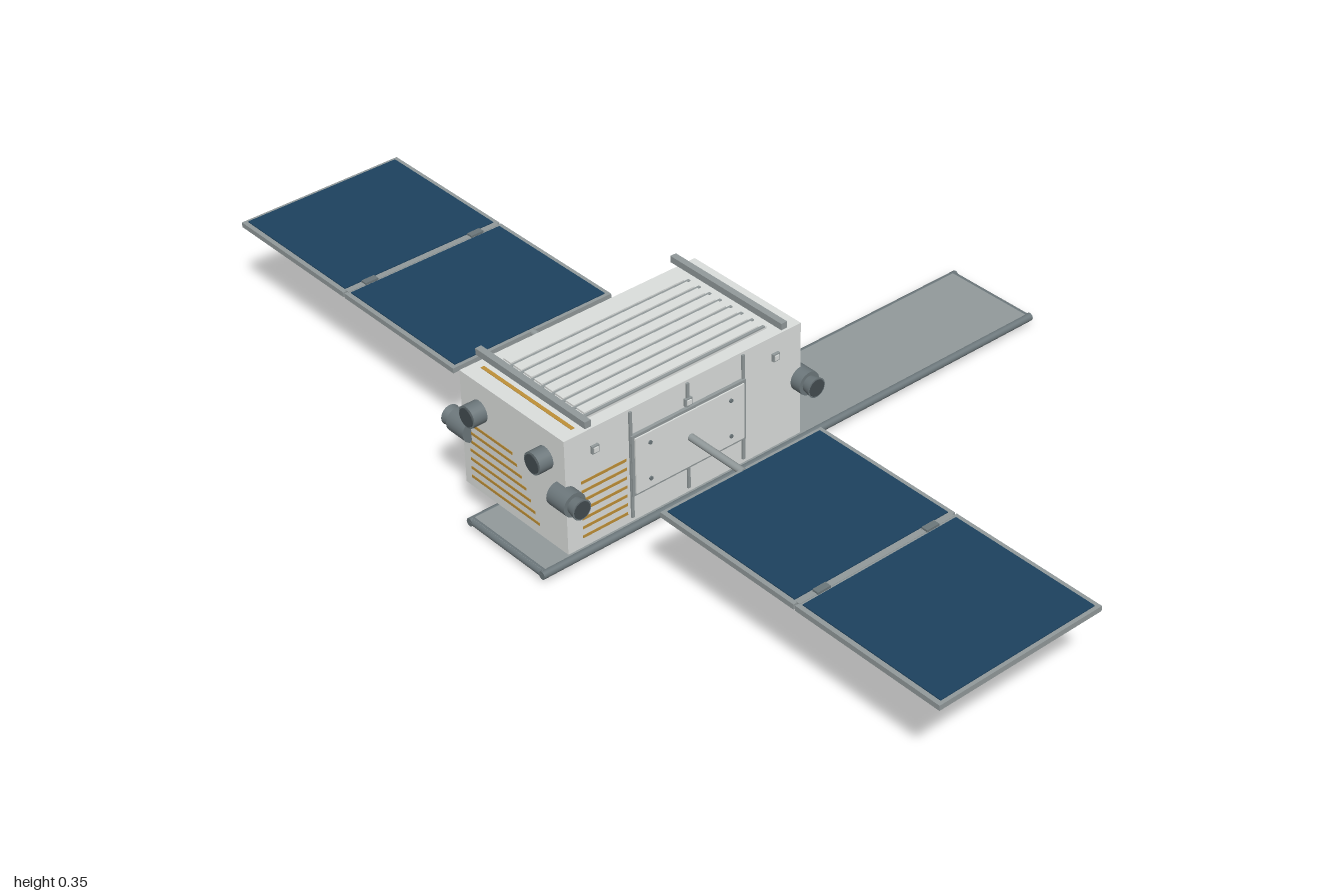
import * as THREE from 'three';

const mat = (name, color) => {
  const m = new THREE.MeshStandardMaterial({ color });
  m.name = name;
  return m;
};

export function createModel() {
  const white = mat('light panel', 0xdcdfdd);
  const grey = mat('mid grey', 0x929a9b);
  const steel = mat('steel', 0x6c777b);
  const dark = mat('dark metal', 0x434c50);
  const blue = mat('solar blue', 0x1d425f);
  const gold = mat('gold foil', 0xbf9038);
  const olive = mat('radar face', 0x8c8668);

  const model = new THREE.Group();
  model.name = 'satellite';

  // Box given by its lower and upper limits on each axis
  const box = (parent, name, m, x0, x1, y0, y1, z0, z1) => {
    const mesh = new THREE.Mesh(new THREE.BoxGeometry(x1 - x0, y1 - y0, z1 - z0), m);
    mesh.position.set((x0 + x1) / 2, (y0 + y1) / 2, (z0 + z1) / 2);
    mesh.name = name;
    parent.add(mesh);
  };

  // Cylinder whose axis runs along x or z, starting at a point
  const rod = (parent, name, m, axis, r0, r1, length, x, y, z) => {
    const g = new THREE.CylinderGeometry(r1, r0, length, 24);
    g.translate(0, length / 2, 0);
    if (axis === 'x') g.rotateZ(-Math.PI / 2);
    else g.rotateX(Math.PI / 2);
    const mesh = new THREE.Mesh(g, m);
    mesh.position.set(x, y, z);
    mesh.name = name;
    parent.add(mesh);
  };

  // Main body
  const body = new THREE.Group();
  body.name = 'body';
  model.add(body);
  box(body, 'bodyShell', white, -0.15, 0.15, 0.075, 0.325, 0.04, 0.605);

  // Foil blankets on the right flank, underside, back and top edge
  for (const [z0, z1] of [[0.06, 0.18], [0.19, 0.315], [0.325, 0.45], [0.46, 0.585]]) {
    box(body, 'flankFoil', gold, -0.151, -0.149, 0.09, 0.31, z0, z1);
  }
  box(body, 'bellyFoil', gold, -0.11, 0.11, 0.074, 0.076, 0.12, 0.52);
  box(body, 'topFoil', gold, -0.13, 0.13, 0.324, 0.326, 0.564, 0.572);
  const trapezoid = new THREE.Shape([[-0.13, 0.3], [0.05, 0.3], [0.0, 0.1], [-0.1, 0.1]]
    .map(([x, y]) => new THREE.Vector2(x, y)));
  const backFoil = new THREE.Mesh(
    new THREE.ExtrudeGeometry(trapezoid, { depth: 0.002, bevelEnabled: false }), gold);
  backFoil.position.z = 0.039;
  backFoil.name = 'backFoil';
  body.add(backFoil);

  // Narrow foil bands on the front and the forward end of the left flank
  for (let i = 0; i < 7; i++) {
    const y = 0.095 + i * 0.02;
    box(body, 'frontFoilBand', gold, -0.13, 0.07 - i * 0.012, y, y + 0.006, 0.604, 0.606);
    box(body, 'flankFoilBand', gold, 0.149, 0.151, y, y + 0.006, 0.465, 0.57);
  }

  // Ribbed radiator on top with a raised rail at each end
  box(body, 'radiator', white, -0.122, 0.122, 0.324, 0.331, 0.1, 0.545);
  for (let i = 0; i < 8; i++) {
    const x = -0.105 + i * 0.03;
    box(body, 'radiatorRib', white, x - 0.011, x + 0.011, 0.33, 0.335, 0.115, 0.53);
    box(body, 'radiatorGroove', grey, x + 0.012, x + 0.018, 0.33, 0.333, 0.105, 0.54);
  }
  for (const z of [0.088, 0.555]) {
    box(body, 'topRail', grey, -0.157, 0.157, 0.336, 0.35, z - 0.007, z + 0.007);
  }

  // Front sensors
  for (const x of [-0.095, 0.095]) {
    rod(body, 'sensorBarrel', steel, 'z', 0.023, 0.023, 0.032, x, 0.263, 0.603);
    rod(body, 'sensorLens', dark, 'z', 0.019, 0.019, 0.002, x, 0.263, 0.635);
  }

  // Each flank with its solar wing, turned about the body for the other side
  for (const s of [1, -1]) {
    const side = new THREE.Group();
    side.name = s > 0 ? 'leftSide' : 'rightSide';
    side.position.z = 0.32;
    side.rotation.y = s > 0 ? 0 : Math.PI;
    model.add(side);

    // Seams, hatch and sockets
    for (const z of [-0.135, 0, 0.135]) {
      box(side, 'seam', grey, 0.149, 0.154, 0.085, 0.32, z - 0.003, z + 0.003);
    }
    box(side, 'hatchFrame', grey, 0.149, 0.157, 0.134, 0.268, -0.137, 0.137);
    box(side, 'hatch', white, 0.15, 0.16, 0.14, 0.262, -0.131, 0.131);
    for (const z of [-0.097, 0.097]) {
      for (const y of [0.16, 0.24]) rod(side, 'bolt', steel, 'x', 0.004, 0.004, 0.004, 0.159, y, z);
    }
    for (const z of [-0.215, 0, 0.218]) {
      box(side, 'socketRim', grey, 0.149, 0.156, 0.272, 0.288, z - 0.008, z + 0.008);
      box(side, 'socketFace', white, 0.15, 0.158, 0.275, 0.285, z - 0.005, z + 0.005);
    }

    // Corner thrusters
    for (const z of [-0.28, 0.285]) {
      rod(side, 'thrusterBase', steel, 'x', 0.025, 0.025, 0.05, 0.125, 0.201, z);
      rod(side, 'thrusterNozzle', steel, 'x', 0.017, 0.021, 0.02, 0.175, 0.201, z);
      rod(side, 'thrusterMouth', dark, 'x', 0.018, 0.018, 0.002, 0.194, 0.201, z);
    }

    // Boom and two-leaf solar wing
    const wing = new THREE.Group();
    wing.name = 'solarWing';
    side.add(wing);
    rod(wing, 'boom', grey, 'x', 0.0075, 0.0075, 0.15, 0.155, 0.204, 0);
    for (const [x0, x1] of [[0.3, 0.648], [0.652, 1]]) {
      box(wing, 'leafFrame', grey, x0, x1, 0.198, 0.209, -0.193, 0.193);
      box(wing, 'solarCells', blue, x0 + 0.008, x1 - 0.008, 0.208, 0.211, -0.183, 0.183);
    }
    box(wing, 'hingeStrip', grey, 0.645, 0.655, 0.2, 0.21, -0.185, 0.185);
    for (const z of [-0.13, 0.13]) {
      box(wing, 'hinge', steel, 0.643, 0.657, 0.2, 0.214, z - 0.015, z + 0.015);
    }
  }

  // Long radar antenna below the body
  const antenna = new THREE.Group();
  antenna.name = 'radarAntenna';
  model.add(antenna);
  box(antenna, 'antennaDeck', grey, -0.108, 0.108, 0.01, 0.026, -0.63, 0.63);
  for (const x of [-0.107, 0.107]) {
    rod(antenna, 'edgeTube', steel, 'z', 0.0085, 0.0085, 1.27, x, 0.018, -0.635);
  }
  for (const z of [-0.627, 0.627]) {
    rod(antenna, 'endTube', steel, 'x', 0.0085, 0.0085, 0.214, -0.107, 0.018, z);
  }
  for (let i = 0; i < 4; i++) {
    const z = -0.465 + i * 0.31;
    box(antenna, 'radarPanel', olive, -0.1, 0.1, 0, 0.011, z - 0.14, z + 0.14);
  }
  for (const z of [-0.31, 0, 0.31]) {
    box(antenna, 'panelSeam', steel, -0.1, 0.1, 0.006, 0.011, z - 0.012, z + 0.012);
  }
  for (const x of [-0.085, 0.085]) {
    box(antenna, 'antennaStrut', grey, x - 0.006, x + 0.006, 0.024, 0.058, 0.099, 0.111);
  }
  return model;
}
